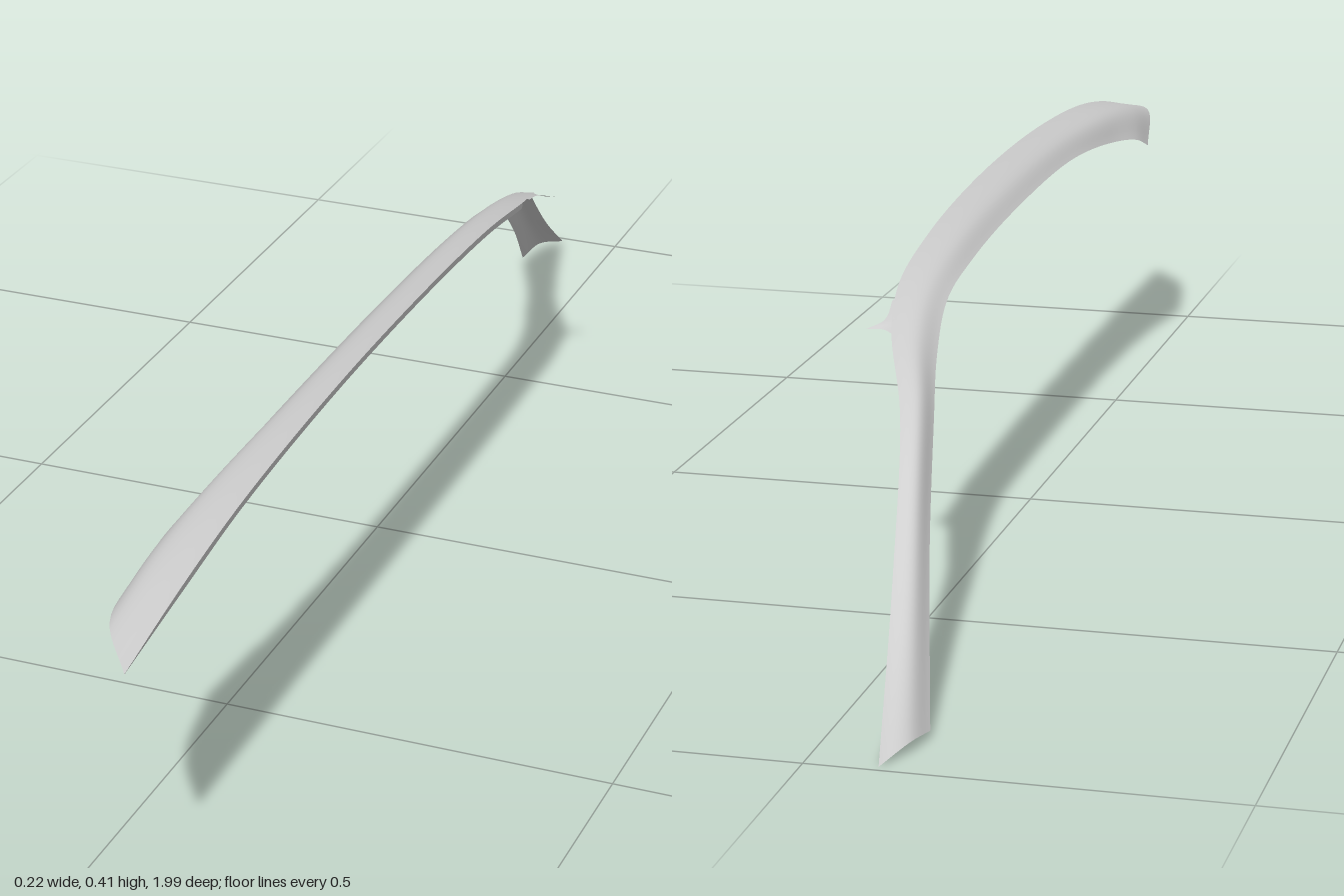
import * as THREE from 'three';

const material = new THREE.MeshStandardMaterial({ color: 0xcccccc, side: THREE.DoubleSide });
const V = (p) => new THREE.Vector3(...p);

// Smooth open sheet through rows of cross-section points (rows run front to back)
function loft(name, rows, nAlong, nAcross) {
  const rails = rows[0].map((_, j) =>
    new THREE.CatmullRomCurve3(rows.map((r) => V(r[j])), false, 'centripetal'));
  const pos = [], idx = [];
  for (let i = 0; i <= nAlong; i++) {
    // same knot parameter on every rail keeps the sections matched
    const section = new THREE.CatmullRomCurve3(rails.map((c) => c.getPoint(i / nAlong)));
    for (let j = 0; j <= nAcross; j++) pos.push(...section.getPoint(j / nAcross).toArray());
  }
  const w = nAcross + 1;
  for (let i = 0; i < nAlong; i++) {
    for (let j = 0; j < nAcross; j++) {
      const a = i * w + j;
      idx.push(a, a + 1, a + w, a + 1, a + w + 1, a + w);
    }
  }
  const g = new THREE.BufferGeometry();
  g.setAttribute('position', new THREE.Float32BufferAttribute(pos, 3));
  g.setIndex(idx);
  g.computeVertexNormals();
  const mesh = new THREE.Mesh(g, material);
  mesh.name = name;
  return mesh;
}

export function createModel() {
  const group = new THREE.Group();
  group.name = 'curvedTrimRail';

  // Sections: outer lower edge, crown, inner upper edge
  const sections = [
    [[0.013, 0.325, 0.76], [0.05, 0.347, 0.92], [0.105, 0.337, 1.0]],
    [[0.018, 0.343, 0.71], [0.051, 0.371, 0.8], [0.107, 0.37, 0.85]],
    [[0.03, 0.361, 0.6], [0.055, 0.389, 0.65], [0.107, 0.394, 0.68]],
    [[0.04, 0.378, 0.4], [0.062, 0.4, 0.4], [0.106, 0.41, 0.4]],
    [[0.04, 0.378, 0.1], [0.062, 0.398, 0.1], [0.103, 0.408, 0.1]],
    [[0.036, 0.365, -0.15], [0.058, 0.384, -0.15], [0.097, 0.391, -0.15]],
    [[0.03, 0.345, -0.3], [0.052, 0.36, -0.31], [0.089, 0.365, -0.31]],
    [[0.012, 0.305, -0.41], [0.034, 0.327, -0.415], [0.066, 0.332, -0.42]],
    [[-0.012, 0.255, -0.51], [-0.001, 0.272, -0.533], [0.018, 0.268, -0.55]],
    [[-0.054, 0.15, -0.68], [-0.05, 0.149, -0.728], [-0.035, 0.13, -0.77]],
    [[-0.113, 0.01, -0.89], [-0.104, 0.014, -0.942], [-0.083, 0.002, -0.99]],
  ];
  group.add(loft('railShell', sections, 100, 14));

  // Narrow lip turned down along the inner edge of the front length
  const lip = sections.slice(0, 7).map(([, , [x, y, z]], i) => {
    const drop = i === 0 ? 0.002 : 0.009;
    return [[x, y, z], [x - 0.001, y - drop, z]];
  });
  group.add(loft('innerLip', lip, 60, 1));

  // Small hooked tab where the rail bends into the rear leg
  group.add(loft('hookTab', [
    [[0.066, 0.352, -0.35], [0.077, 0.354, -0.35], [0.086, 0.355, -0.345]],
    [[0.062, 0.336, -0.405], [0.073, 0.341, -0.395], [0.083, 0.341, -0.395]],
    [[0.066, 0.332, -0.42], [0.08, 0.334, -0.41], [0.1, 0.334, -0.414]],
  ], 10, 6));

  return group;
}
